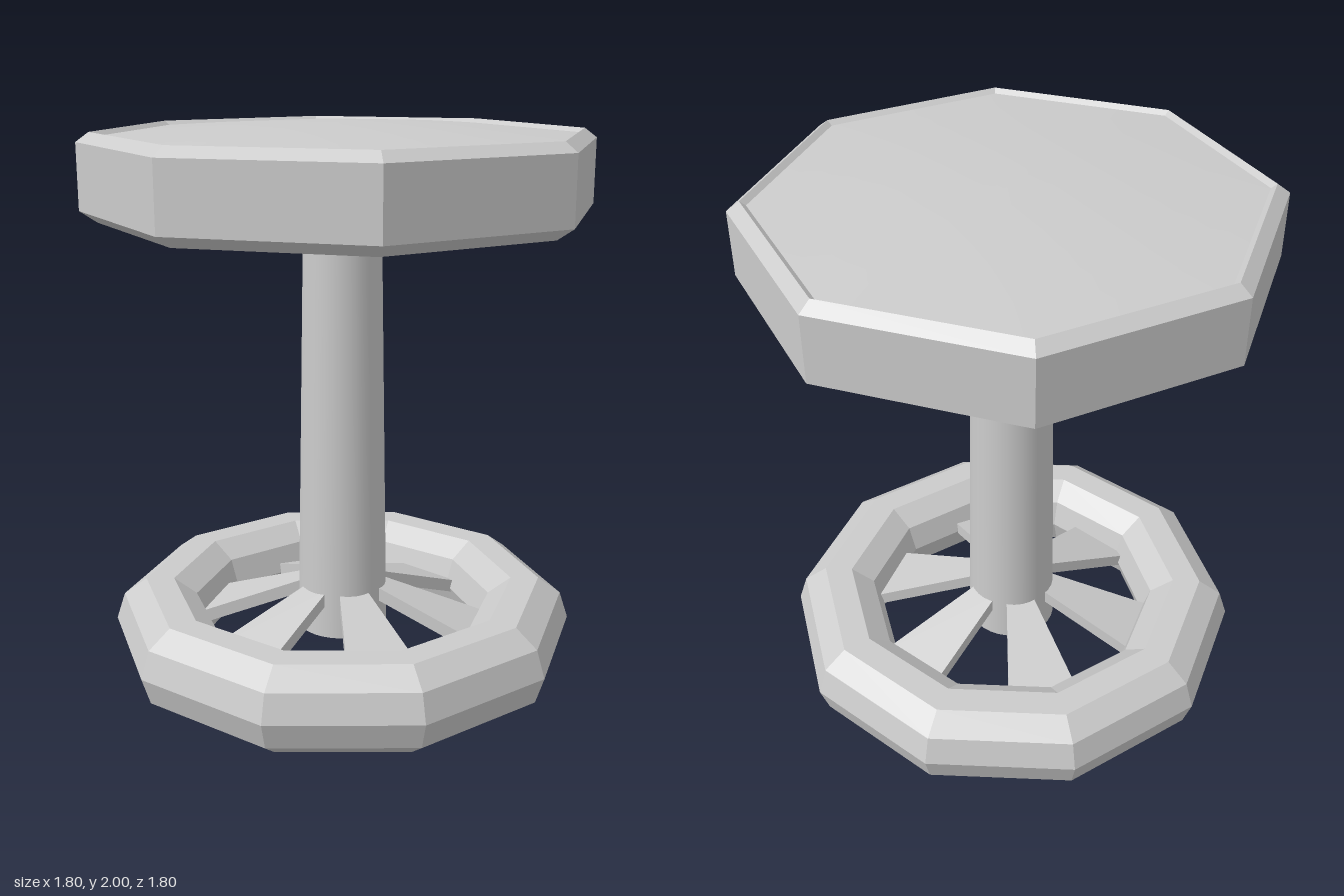
import * as THREE from 'three';

const DEG = Math.PI / 180;
const flat = new THREE.MeshStandardMaterial({ color: 0xcccccc, flatShading: true });
const smooth = new THREE.MeshStandardMaterial({ color: 0xcccccc });

function lathe(name, points, sides, material, start = 0) {
  const profile = points.map(([r, y]) => new THREE.Vector2(r, y));
  const mesh = new THREE.Mesh(new THREE.LatheGeometry(profile, sides, start), material);
  mesh.name = name;
  return mesh;
}

// Wedge plate that widens and drops from the column out to the ring
function spokeGeometry(inner, outer) {
  const g = new THREE.BoxGeometry(1, 1, 1);
  const p = g.attributes.position;
  for (let i = 0; i < p.count; i++) {
    const end = p.getZ(i) < 0 ? inner : outer;
    p.setXYZ(i, p.getX(i) * end.width, end.y + p.getY(i) * end.thick, end.r);
  }
  g.computeVertexNormals();
  return g;
}

export function createModel() {
  const model = new THREE.Group();
  model.name = 'stool';

  // Octagonal seat: bevelled shell with a grooved rim
  model.add(lathe('seatShell', [
    [0, 1.665], [0.84, 1.67], [0.9, 1.71], [0.9, 1.94], [0.855, 1.973], [0.835, 1.958],
  ], 8, flat));

  // Softly domed cushion set inside the rim
  const dome = [];
  for (let i = 0; i <= 6; i++) {
    const t = i / 6;
    dome.push([0.835 * (1 - t), 1.958 + 0.042 * Math.sin(t * Math.PI / 2)]);
  }
  model.add(lathe('seatCushion', dome, 8, smooth));

  // Tapered column
  const column = new THREE.Mesh(new THREE.CylinderGeometry(0.138, 0.166, 1.53, 32), smooth);
  column.name = 'column';
  column.position.y = 0.15 + 1.53 / 2;
  model.add(column);

  // Ten-sided base ring with a ten-sided tube section
  const section = [];
  for (let i = 0; i <= 10; i++) {
    const a = i * 36 * DEG;
    section.push([0.685 + 0.168 * Math.cos(a), 0.16 + 0.168 * Math.sin(a)]);
  }
  model.add(lathe('baseRing', section, 10, flat, 2 * DEG));

  // Six spokes between column and ring
  const geometry = spokeGeometry(
    { r: 0.13, y: 0.3, width: 0.1, thick: 0.05 },
    { r: 0.56, y: 0.145, width: 0.28, thick: 0.05 },
  );
  for (let i = 0; i < 6; i++) {
    const spoke = new THREE.Mesh(geometry, flat);
    spoke.name = 'spoke';
    spoke.rotation.y = (24 + i * 60) * DEG;
    model.add(spoke);
  }
  return model;
}
